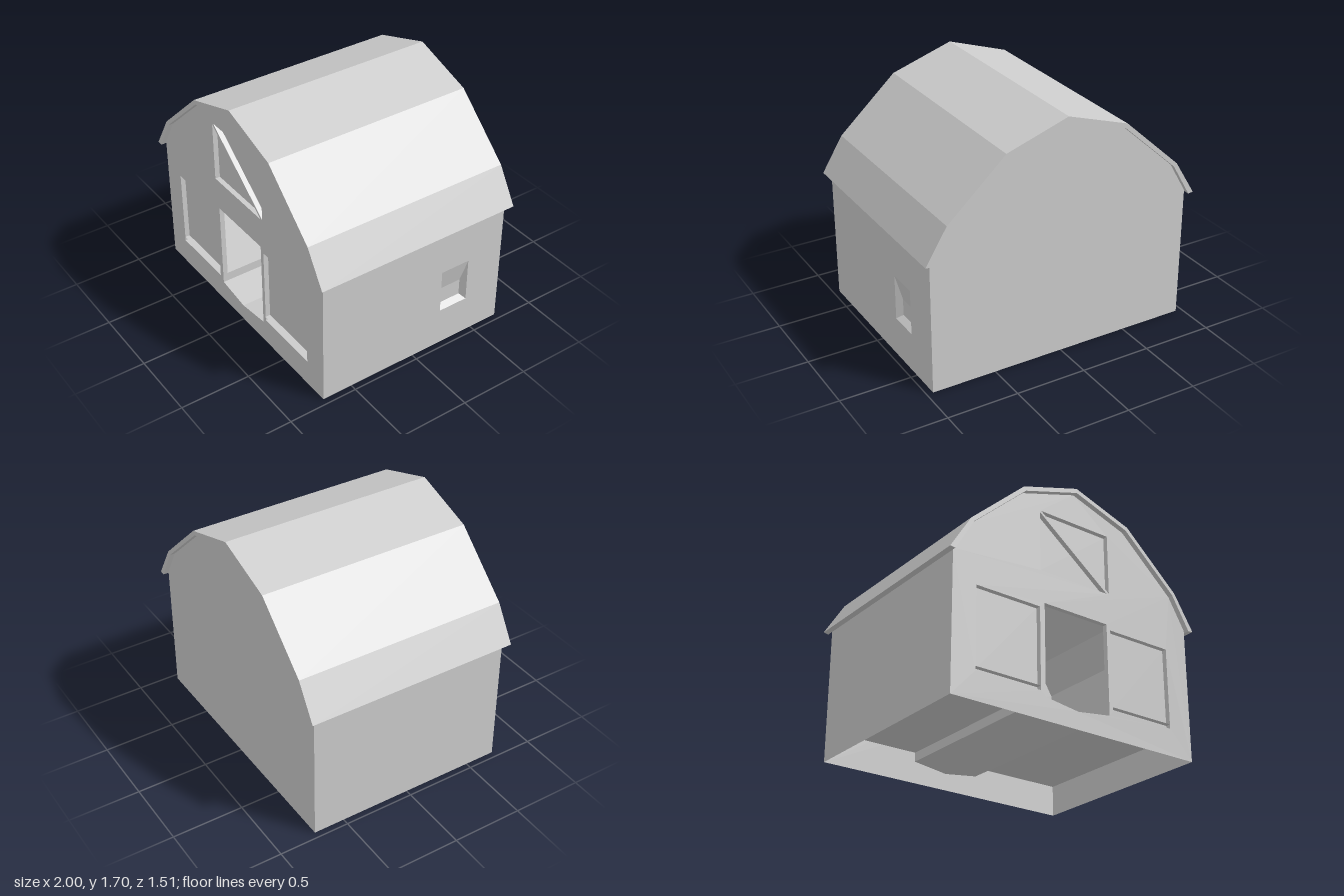
import * as THREE from 'three';

const mat = new THREE.MeshStandardMaterial({ color: 0xcccccc, side: THREE.DoubleSide, flatShading: true });
const X = 0.955, Z = 0.72, FLOOR = 0.22, DEPTH = 0.035;

const mirror = (half) => [...half, ...half.slice(0, -1).reverse().map(([x, y]) => [-x, y])];
const rect = (x0, x1, y0, y1) => [[x0, y0], [x1, y0], [x1, y1], [x0, y1]];
const v2 = (pts) => pts.map(([x, y]) => new THREE.Vector2(x, y));

// flat panel in the xy plane, with openings
function panel(pts, z = 0, holes = []) {
  const shape = new THREE.Shape(v2(pts));
  for (const h of holes) shape.holes.push(new THREE.Path(v2(h)));
  return new THREE.ShapeGeometry(shape).translate(0, 0, z);
}

// band of quads joining outline a (at za) to outline b (at zb)
function band(a, b, za, zb, closed = true) {
  const pos = [], idx = [], n = a.length;
  for (let i = 0; i < n; i++) pos.push(...a[i], za, ...b[i], zb);
  for (let i = 0; i < (closed ? n : n - 1); i++) {
    const p = 2 * i, q = 2 * ((i + 1) % n);
    idx.push(p, q, p + 1, q, q + 1, p + 1);
  }
  const g = new THREE.BufferGeometry();
  g.setAttribute('position', new THREE.Float32BufferAttribute(pos, 3));
  g.setIndex(idx);
  g.computeVertexNormals();
  return g;
}

export function createModel() {
  const barn = new THREE.Group();
  barn.name = 'barn';
  const add = (name, geo, parent = barn) => {
    const m = new THREE.Mesh(geo, mat);
    m.name = name;
    parent.add(m);
    return m;
  };

  // gambrel roof shell
  const outer = mirror([[1, 0.935], [0.85, 1.18], [0.44, 1.555], [0, 1.7]]);
  const inner = mirror([[0.963, 0.93], [0.828, 1.162], [0.425, 1.528], [0, 1.668]]);
  const roof = new THREE.Shape(v2([...outer, ...inner.slice().reverse()]));
  add('roof', new THREE.ExtrudeGeometry(roof, { depth: 1.514, bevelEnabled: false }).translate(0, 0, -0.757));

  // end walls
  const gable = mirror([[X, 0], [X, 0.95], [0.83, 1.165], [0.426, 1.53], [0, 1.67]]);
  const door = [[-0.255, 0.155], [0, 0.12], [0.255, 0.155], [0.255, 0.79], [-0.255, 0.79]];
  const windows = [rect(-0.78, -0.292, 0.19, 0.755), rect(0.285, 0.775, 0.19, 0.755)];
  const loft = rect(-0.285, 0.285, 1.015, 1.45);
  add('frontWall', panel(gable, Z, [door, ...windows, loft]));
  add('backWall', panel(gable, -Z).rotateY(Math.PI).translate(0, 0, -2 * Z));

  // door jambs, and recessed shutters behind the other openings
  add('doorJamb', band(door, door, Z, Z - DEPTH));
  [...windows, loft].forEach((o, i) => {
    const g = new THREE.Group();
    g.name = ['rightShutter', 'leftShutter', 'loftHatch'][i];
    add('reveal', band(o, o, Z, Z - DEPTH), g);
    add('shutterPanel', panel(o, Z - DEPTH), g);
    barn.add(g);
  });

  // diagonal brace across the loft hatch
  const brace = new THREE.Shape(v2([[-0.285, 1.45], [-0.285, 1.44], [0.265, 1.015], [0.285, 1.015], [0.285, 1.022], [-0.272, 1.45]]));
  add('loftBrace', new THREE.ExtrudeGeometry(brace, { depth: DEPTH, bevelEnabled: false }).translate(0, 0, Z - DEPTH));

  // side walls; the left one has a small tapering window niche
  const side = rect(-Z, Z, 0, 0.96);
  add('rightWall', panel(side).rotateY(-Math.PI / 2).translate(-X, 0, 0));
  const niche = rect(0.22, 0.44, 0.28, 0.6);
  const nicheBack = rect(0.25, 0.41, 0.31, 0.43);
  const left = new THREE.Group();
  left.name = 'leftWall';
  add('wallPanel', panel(side, 0, [niche]), left);
  add('windowNiche', band(niche, nicheBack, 0, -0.04), left);
  add('nicheBack', panel(nicheBack, -0.04), left);
  left.rotation.y = Math.PI / 2;
  left.position.x = X;
  barn.add(left);

  // raised floor with a sunken central aisle
  const floor = [[-X, FLOOR], [-0.255, FLOOR], [-0.255, 0.155], [0, 0.12], [0.255, 0.155], [0.255, FLOOR], [X, FLOOR]];
  add('floor', band(floor, floor, Z, -Z, false));

  return barn;
}
